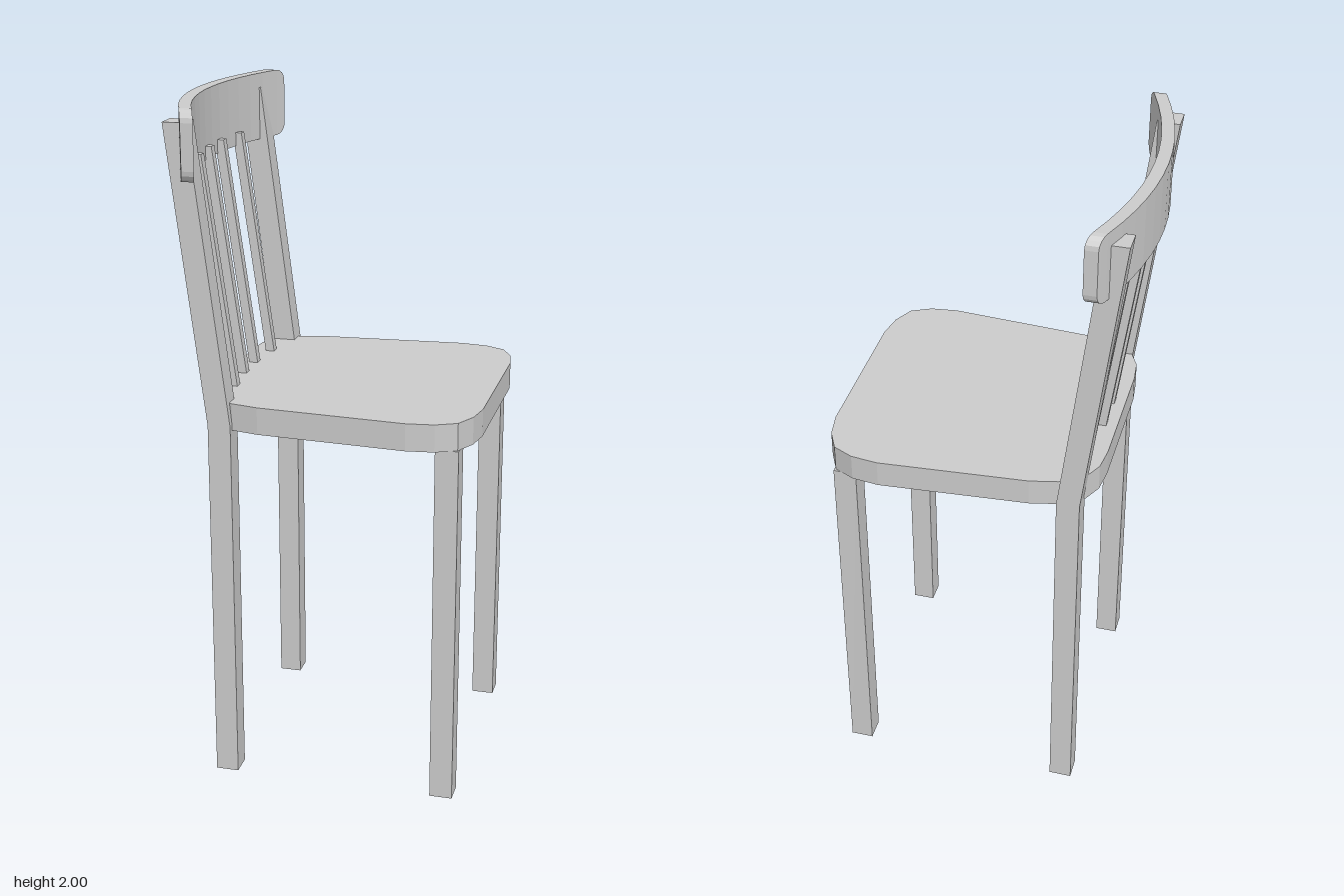
import * as THREE from 'three';

const material = new THREE.MeshStandardMaterial({ color: 0xcccccc, flatShading: true });

function addMesh(parent, name, geometry, x = 0, y = 0, z = 0) {
  const mesh = new THREE.Mesh(geometry, material);
  mesh.name = name;
  mesh.position.set(x, y, z);
  parent.add(mesh);
  return mesh;
}

// Move every vertex of a geometry by a rule
function deform(geometry, rule) {
  const pos = geometry.attributes.position;
  const v = new THREE.Vector3();
  for (let i = 0; i < pos.count; i++) {
    v.fromBufferAttribute(pos, i);
    rule(v);
    pos.setXYZ(i, v.x, v.y, v.z);
  }
  geometry.computeVertexNormals();
  return geometry;
}

// Upright bar whose upper end leans back
function leaningBar(width, y0, y1, lean) {
  const g = new THREE.BoxGeometry(width, y1 - y0, width);
  return deform(g, (v) => {
    if (v.y > 0) v.x -= lean;
    v.y += (y0 + y1) / 2;
  });
}

// Tapered seat board with rounded corners, from one mirrored half outline
function seatGeometry() {
  const half = [
    [0.444, 0.23], [0.431, 0.306], [0.4, 0.368], [0.34, 0.397], [0.26, 0.407],
    [-0.175, 0.376], [-0.255, 0.358], [-0.325, 0.314], [-0.352, 0.26], [-0.36, 0.188],
  ];
  const outline = [...half, ...half.map(([x, z]) => [x, -z]).reverse()];
  const shape = new THREE.Shape(outline.map(([x, z]) => new THREE.Vector2(x, z)));
  const g = new THREE.ExtrudeGeometry(shape, { depth: 0.08, bevelEnabled: false });
  return g.rotateX(-Math.PI / 2);
}

// Top rail: upright board bent backwards in the middle, with rounded ends
function railGeometry() {
  const halfLength = 0.429, r = 0.035, steps = 4, middle = 12;
  const stations = [];
  for (let i = 0; i <= steps; i++) {
    const a = (i / steps) * Math.PI / 2;
    stations.push({ z: -halfLength + r * (1 - Math.cos(a)), h: 0.1 - r * (1 - Math.sin(a)) });
  }
  const inner = halfLength - r;
  for (let i = 1; i < middle; i++) stations.push({ z: -inner + (2 * inner * i) / middle, h: 0.1 });
  for (let i = steps; i >= 0; i--) stations.push({ z: -stations[i].z, h: stations[i].h });

  const count = stations.length - 1;
  const g = new THREE.BoxGeometry(0.037, 2, count, 1, 1, count);
  return deform(g, (v) => {
    const s = stations[Math.round(v.z + count / 2)];
    v.z = s.z;
    v.y *= s.h;
    v.x += 0.093 * (s.z / halfLength) ** 2;
  });
}

export function createModel() {
  const root = new THREE.Group();
  root.name = 'chair';

  // The chair faces +x, turned slightly about the vertical
  const chair = new THREE.Group();
  chair.name = 'chairBody';
  chair.rotation.y = -THREE.MathUtils.degToRad(5);
  chair.position.set(-0.001, 0, 0.0145);
  root.add(chair);

  addMesh(chair, 'seat', seatGeometry(), 0, 1.085, 0);
  addMesh(chair, 'topRail', railGeometry(), -0.433, 1.9, 0);

  for (const side of [1, -1]) {
    const label = side > 0 ? 'Left' : 'Right';
    const z = 0.343 * side;

    addMesh(chair, 'frontLeg' + label, new THREE.BoxGeometry(0.067, 1.085, 0.067), 0.371, 0.5425, z);

    // Back leg and back post in one piece, bent at seat height
    const post = new THREE.BoxGeometry(0.067, 2, 0.067, 1, 2, 1);
    deform(post, (v) => {
      if (v.y > 0.5) v.x -= 0.107;
      v.y = v.y > 0.5 ? 1.957 : v.y < -0.5 ? 0 : 1.1;
    });
    addMesh(chair, 'backLeg' + label, post, -0.288, 0, z);

    // Back spindles
    addMesh(chair, 'outerSpindle' + label, leaningBar(0.027, 1.15, 1.84, 0.095), -0.3, 0, 0.186 * side);
    addMesh(chair, 'innerSpindle' + label, leaningBar(0.027, 1.15, 1.84, 0.095), -0.313, 0, 0.056 * side);
  }
  return root;
}
